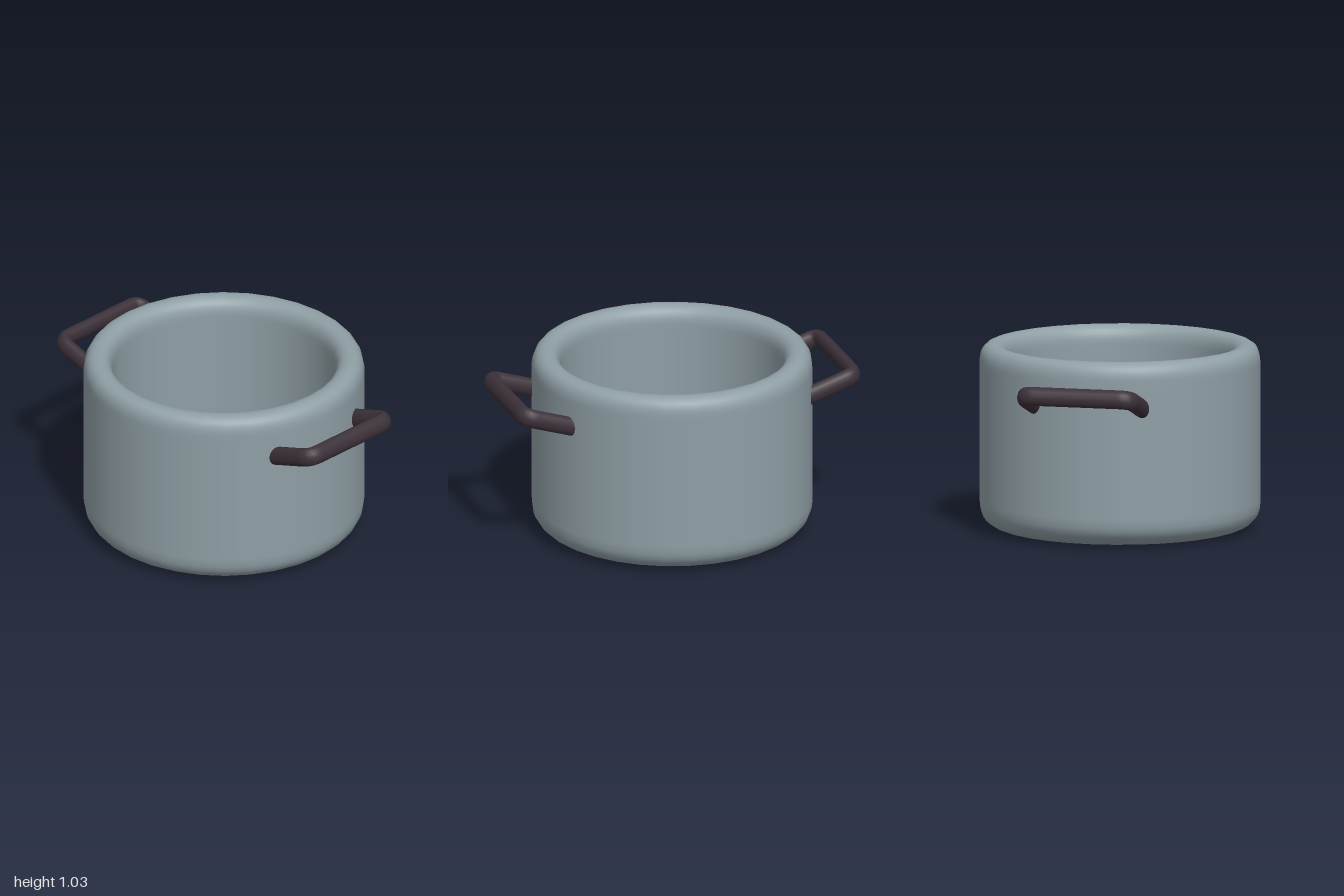
import * as THREE from 'three';

const steel = new THREE.MeshStandardMaterial({ color: 0x8f9fa5 });
steel.name = 'greySteel';
const grip = new THREE.MeshStandardMaterial({ color: 0x3c3139 });
grip.name = 'darkGrip';

// One turned profile: base, outer wall, rolled rim, inner wall, floor
function createBody() {
  const profile = new THREE.Path();
  profile.moveTo(0, 0);
  profile.lineTo(0.56, 0);
  profile.lineTo(0.6, 0.004);
  profile.bezierCurveTo(0.7, 0.012, 0.77, 0.05, 0.77, 0.15);
  profile.lineTo(0.77, 0.17);
  profile.lineTo(0.77, 0.9);
  profile.lineTo(0.77, 0.93);
  profile.bezierCurveTo(0.77, 0.99, 0.745, 1.03, 0.692, 1.03);
  profile.bezierCurveTo(0.64, 1.03, 0.615, 0.99, 0.615, 0.93);
  profile.lineTo(0.615, 0.9);
  profile.lineTo(0.615, 0.2);
  profile.lineTo(0.615, 0.18);
  profile.quadraticCurveTo(0.615, 0.14, 0.575, 0.14);
  profile.lineTo(0.55, 0.14);
  profile.lineTo(0, 0.14);
  const body = new THREE.Mesh(new THREE.LatheGeometry(profile.getPoints(8), 32), steel);
  body.name = 'potBody';
  return body;
}

// Rounded U-shaped loop of oval section, tilted upwards away from the wall
function createHandle() {
  const half = 0.305, depth = 0.31, r = 0.065, thick = 0.039;
  const v = (x, z) => new THREE.Vector3(x, 0, z);
  const path = new THREE.CurvePath();
  path.add(new THREE.LineCurve3(v(-half, -depth), v(-half, -r)));
  path.add(new THREE.QuadraticBezierCurve3(v(-half, -r), v(-half, 0), v(-half + r, 0)));
  path.add(new THREE.LineCurve3(v(-half + r, 0), v(half - r, 0)));
  path.add(new THREE.QuadraticBezierCurve3(v(half - r, 0), v(half, 0), v(half, -r)));
  path.add(new THREE.LineCurve3(v(half, -r), v(half, -depth)));
  const geometry = new THREE.TubeGeometry(path, 72, thick, 16, false);
  geometry.scale(1, 1.34, 1);
  geometry.rotateX(-THREE.MathUtils.degToRad(18));
  geometry.translate(0, 0.867, 0.96);
  return new THREE.Mesh(geometry, grip);
}

export function createModel() {
  const pot = new THREE.Group();
  pot.name = 'cookingPot';
  pot.add(createBody());

  // Matching handles at front and back
  ['frontHandle', 'backHandle'].forEach((name, i) => {
    const handle = createHandle();
    handle.name = name;
    handle.rotation.y = i * Math.PI;
    pot.add(handle);
  });
  return pot;
}
